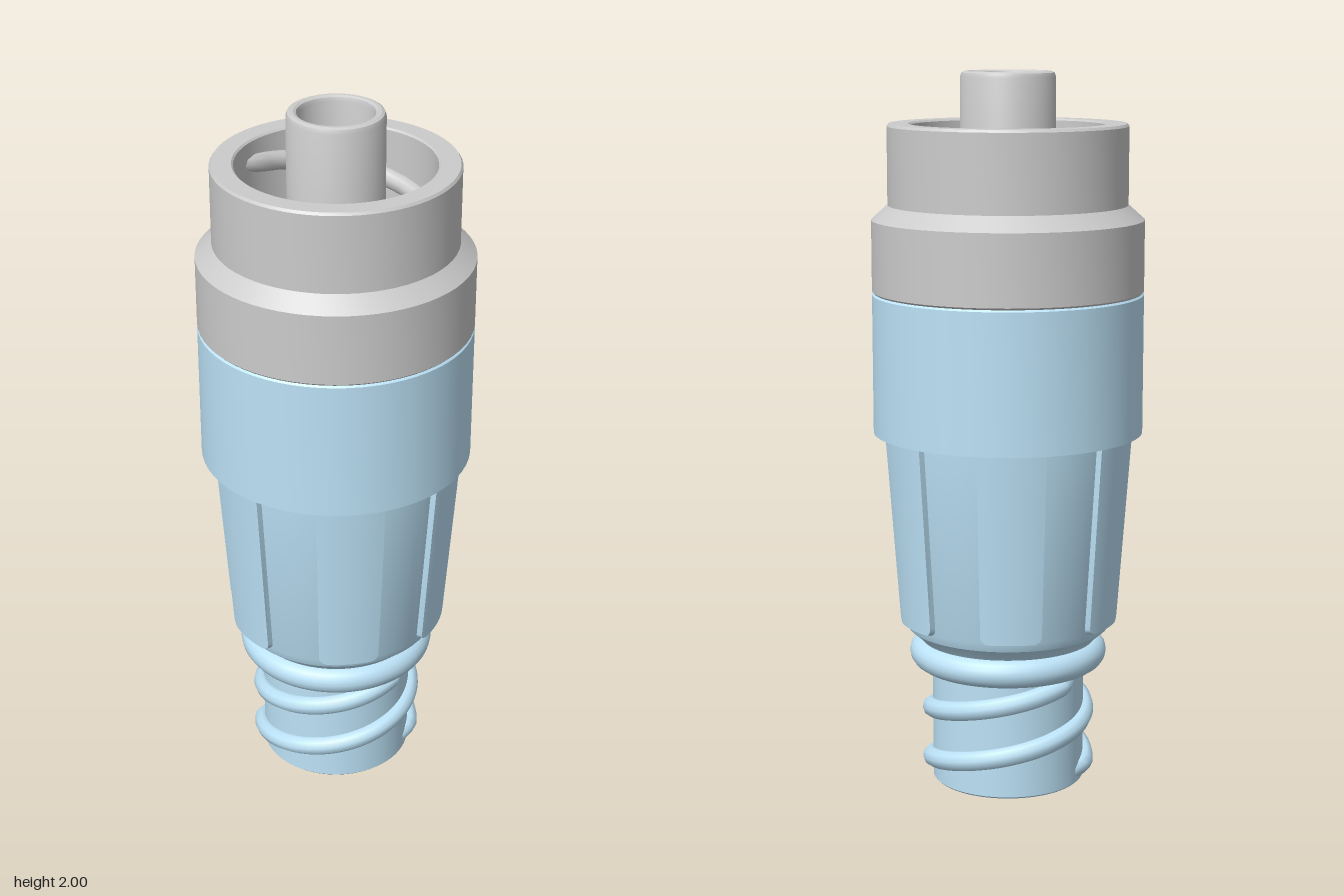
import * as THREE from 'three';
import { toCreasedNormals } from 'three/addons/utils/BufferGeometryUtils.js';

const grey = new THREE.MeshStandardMaterial({ color: 0xcccccc });
const paleBlue = new THREE.MeshStandardMaterial({ color: 0xbde3f8 });
const deepBlue = new THREE.MeshStandardMaterial({ color: 0x12aefa });

function add(parent, name, geometry, material) {
  const mesh = new THREE.Mesh(geometry, material);
  mesh.name = name;
  parent.add(mesh);
  return mesh;
}

// Turned part from [radius, height] pairs, running up the outside
function turned(points, segments = 64) {
  const profile = points.map(([r, y]) => new THREE.Vector2(r, y));
  return toCreasedNormals(new THREE.LatheGeometry(profile, segments), 0.45);
}

// One-turn screw thread whose ends run out into the wall
class Helix extends THREE.Curve {
  constructor(radius, y0, lead, start, sink) {
    super();
    Object.assign(this, { radius, y0, lead, start, sink });
  }
  getPoint(t, target = new THREE.Vector3()) {
    const a = this.start + t * Math.PI * 2;
    const runOut = Math.max(0, 1 - Math.min(t, 1 - t) / 0.05);
    const r = this.radius + this.sink * runOut;
    return target.set(r * Math.sin(a), this.y0 + this.lead * t, r * Math.cos(a));
  }
}

function addThreads(parent, name, material, radius, y0, lead, sink, thickness, steps) {
  for (const start of [-Math.PI / 2, Math.PI / 2]) {
    const path = new Helix(radius, y0, lead, start, sink);
    add(parent, name, new THREE.TubeGeometry(path, steps, thickness, 10), material);
  }
}

// Raised grip panel wrapped on the tapered body, with rounded lower corners
function gripPanel() {
  const half = 0.085, corner = 0.022, bottom = 0.47, top = 1.02;
  const g = new THREE.BoxGeometry(2, 1, 1, 18, 1, 1);
  const p = g.attributes.position;
  for (let i = 0; i < p.count; i++) {
    const u = Math.sin(p.getX(i) * Math.PI / 2);
    const outer = p.getZ(i) > 0;
    const dx = Math.max(0, Math.abs(u) * half - (half - corner));
    const low = bottom + corner - Math.sqrt(Math.max(0, corner ** 2 - dx ** 2)) + (outer ? 0.006 : 0);
    const y = p.getY(i) > 0 ? top : low;
    const r = 0.295 + (y - bottom) / 0.54 * 0.04 + (outer ? 0.016 : -0.01);
    const a = u * THREE.MathUtils.degToRad(outer ? 15.5 : 16.3);
    p.setXYZ(i, r * Math.sin(a), y, r * Math.cos(a));
  }
  return toCreasedNormals(g, 0.5);
}

// Crescent outline of one floor slot
function slotPoints(side) {
  return [[0.118, 0], [0.122, 0.06], [0.143, 0.11], [0.165, 0.11], [0.186, 0.065], [0.197, 0.02],
    [0.197, -0.02], [0.186, -0.065], [0.165, -0.11], [0.143, -0.11], [0.122, -0.06]]
    .map(([x, y]) => new THREE.Vector2(side * x, y));
}

function flatExtrude(shape, depth, y) {
  const g = new THREE.ExtrudeGeometry(shape, { depth, bevelEnabled: false, curveSegments: 48 });
  return g.rotateX(-Math.PI / 2).translate(0, y, 0);
}

export function createModel() {
  const model = new THREE.Group();
  model.name = 'connector';

  // Blue body: bored spigot, rounded collar, tapered grip and wide band
  const body = new THREE.Group();
  body.name = 'body';
  model.add(body);
  add(body, 'bodyShell', turned([
    [0.13, 0.06], [0.13, 0], [0.21, 0], [0.215, 0.005], [0.215, 0.36], [0.24, 0.4], [0.25, 0.42],
    [0.285, 0.45], [0.295, 0.475], [0.335, 1.01], [0.375, 1.01], [0.375, 1.395], [0.37, 1.4], [0, 1.4],
  ]), paleBlue);
  const collar = add(body, 'collarRing', new THREE.TorusGeometry(0.238, 0.041, 16, 64), paleBlue);
  collar.rotation.x = Math.PI / 2;
  collar.position.y = 0.375;
  addThreads(body, 'outerThread', paleBlue, 0.217, 0.03, 0.295, -0.035, 0.028, 72);

  // Six grip panels
  const panel = gripPanel();
  for (let i = 0; i < 6; i++) {
    add(body, 'gripPanel', panel, paleBlue).rotation.y = (i + 0.5) * Math.PI / 3;
  }

  // Deep blue core closing the bore
  const core = new THREE.Group();
  core.name = 'core';
  model.add(core);
  add(core, 'corePlug', new THREE.CylinderGeometry(0.13, 0.13, 0.3, 48).translate(0, 0.16, 0), deepBlue);

  // Grey socket housing
  const socket = new THREE.Group();
  socket.name = 'socket';
  model.add(socket);
  add(socket, 'socketShell', turned([
    [0.27, 1.4], [0.37, 1.4], [0.375, 1.405], [0.375, 1.6], [0.33, 1.64], [0.33, 1.853],
    [0.325, 1.86], [0.272, 1.86], [0.267, 1.855], [0.267, 1.41],
  ]), grey);
  addThreads(socket, 'innerThread', grey, 0.264, 1.51, 0.29, 0.04, 0.027, 32);

  // Slotted floor with core wings showing through
  const floor = new THREE.Shape().absarc(0, 0, 0.27, 0, Math.PI * 2);
  for (const side of [-1, 1]) {
    floor.holes.push(new THREE.Path(slotPoints(side)));
    add(core, 'coreWing', flatExtrude(new THREE.Shape(slotPoints(side)), 0.03, 1.405), deepBlue);
  }
  add(socket, 'socketFloor', flatExtrude(floor, 0.05, 1.41), grey);

  // Central nozzle with a rounded rim
  add(socket, 'nozzle', turned([
    [0.13, 1.41], [0.13, 1.985], [0.126, 1.996], [0.118, 2], [0.11, 2],
    [0.103, 1.996], [0.1, 1.985], [0.1, 1.47], [0, 1.47],
  ], 48), grey);

  return model;
}
